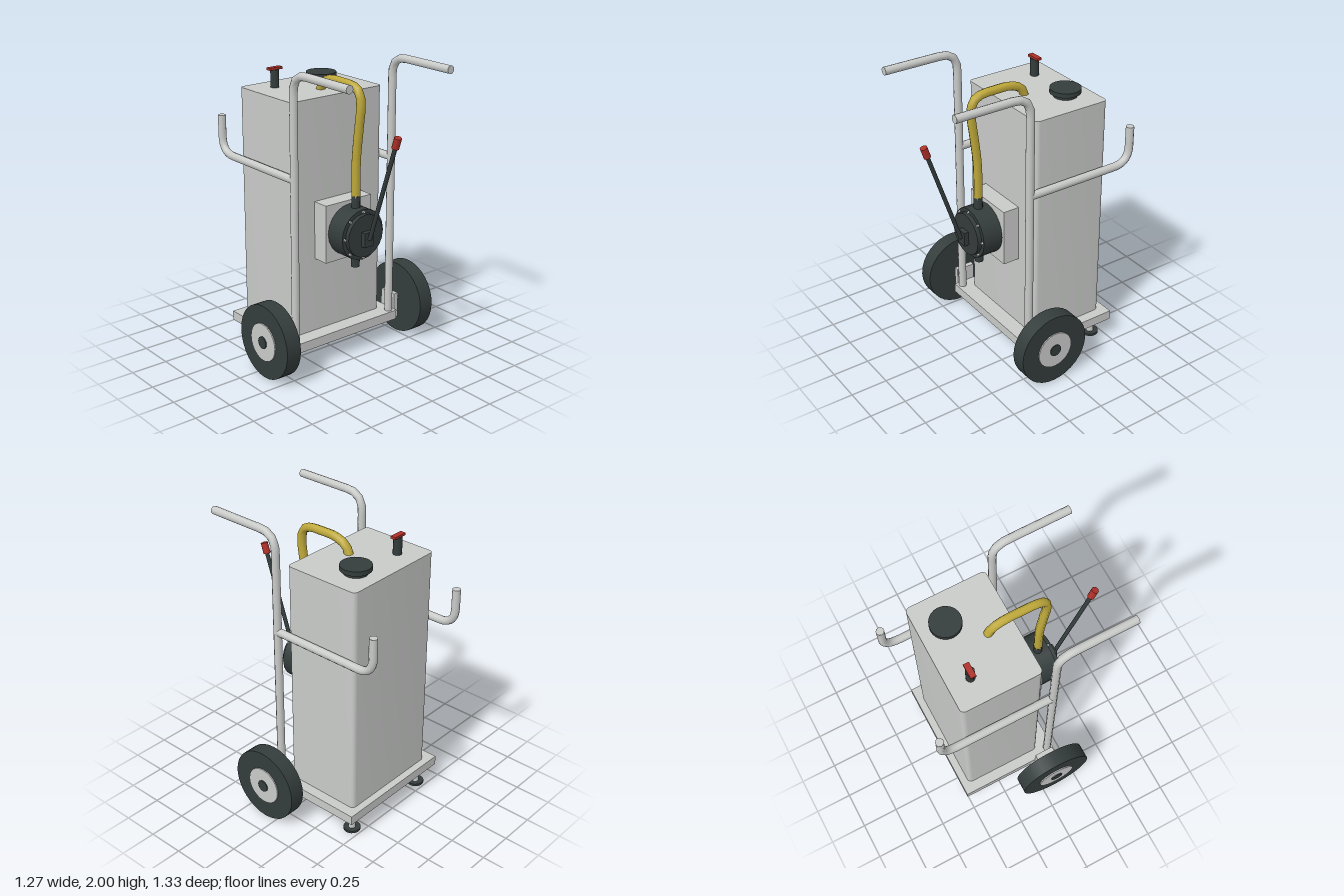
import * as THREE from 'three';
import { toCreasedNormals } from 'three/addons/utils/BufferGeometryUtils.js';

const V = (x, y, z) => new THREE.Vector3(x, y, z);

export function createModel() {
  const model = new THREE.Group();
  model.name = 'pumpTrolley';

  const material = (name, color) => {
    const m = new THREE.MeshStandardMaterial({ color });
    m.name = name;
    return m;
  };
  const steel = material('light grey steel', 0xc9cbc9);
  const rubber = material('dark grey rubber', 0x343c3c);
  const red = material('red', 0xb03028);
  const yellow = material('yellow hose', 0xbfa93a);

  const add = (name, geometry, mat, x = 0, y = 0, z = 0) => {
    const mesh = new THREE.Mesh(geometry, mat);
    mesh.name = name;
    mesh.position.set(x, y, z);
    model.add(mesh);
    return mesh;
  };
  // Box given by its minimum and maximum corners
  const box = (name, mat, [x0, y0, z0], [x1, y1, z1]) =>
    add(name, new THREE.BoxGeometry(x1 - x0, y1 - y0, z1 - z0), mat, (x0 + x1) / 2, (y0 + y1) / 2, (z0 + z1) / 2);
  // Cylinder running from point a to point b
  const rod = (name, mat, a, b, r, sides = 16) => {
    const mesh = add(name, new THREE.CylinderGeometry(r, r, a.distanceTo(b), sides), mat);
    mesh.position.copy(a).lerp(b, 0.5);
    mesh.quaternion.setFromUnitVectors(V(0, 1, 0), b.clone().sub(a).normalize());
    return mesh;
  };
  // Closed end disc facing along dir
  const endCap = (name, mat, p, dir, r, sides) => {
    const mesh = add(name, new THREE.CircleGeometry(r, sides), mat);
    mesh.position.copy(p);
    mesh.quaternion.setFromUnitVectors(V(0, 0, 1), dir);
  };
  // Tube from a to c with one rounded bend at corner b
  const bentTube = (name, a, b, c, bend, r) => {
    const d0 = b.clone().sub(a).normalize();
    const d1 = c.clone().sub(b).normalize();
    const p = b.clone().addScaledVector(d0, -bend);
    const q = b.clone().addScaledVector(d1, bend);
    const path = new THREE.CurvePath();
    path.add(new THREE.LineCurve3(a, p));
    path.add(new THREE.QuadraticBezierCurve3(p, b, q));
    path.add(new THREE.LineCurve3(q, c));
    add(name, new THREE.TubeGeometry(path, 40, r, 10), steel);
    endCap(name + 'End', steel, c, d1, r, 10);
    endCap(name + 'Start', steel, a, d0.clone().negate(), r, 10);
  };

  // Base plate and tank with rounded upright edges
  box('basePlate', steel, [-0.44, 0.135, -0.517], [0.44, 0.2, 0.18]);
  const w = 0.37, d = 0.27, r = 0.03;
  const outline = new THREE.Shape();
  outline.absarc(w - r, d - r, r, 0, Math.PI / 2);
  outline.absarc(r - w, d - r, r, Math.PI / 2, Math.PI);
  outline.absarc(r - w, r - d, r, Math.PI, Math.PI * 1.5);
  outline.absarc(w - r, r - d, r, Math.PI * 1.5, Math.PI * 2);
  const tank = new THREE.ExtrudeGeometry(outline, { depth: 1.575, bevelEnabled: false, curveSegments: 5 });
  tank.rotateX(-Math.PI / 2);
  add('tank', toCreasedNormals(tank, 0.6), steel, 0, 0.2, -0.197);

  // Parts mirrored left and right
  for (const [side, s] of [['left', 1], ['right', -1]]) {
    bentTube(side + 'PushHandle', V(s * 0.4, 0.2, 0.14), V(s * 0.4, 1.975, 0.14), V(s * 0.4, 1.975, 0.665), 0.12, 0.027);
    bentTube(side + 'HoseHook', V(s * 0.4, 1.303, 0.14), V(s * 0.4, 1.303, -0.637), V(s * 0.4, 1.56, -0.637), 0.12, 0.027);
    box(side + 'AxleBracket', steel,
      [Math.min(s * 0.44, s * 0.474), 0.135, 0.023], [Math.max(s * 0.44, s * 0.474), 0.31, 0.155]);
    const alongAxle = (name, mat, x0, x1, radius, sides) =>
      rod(side + name, mat, V(s * x0, 0.25, 0.09), V(s * x1, 0.25, 0.09), radius, sides);
    alongAxle('Axle', steel, 0.46, 0.53, 0.028, 16);
    alongAxle('Tyre', rubber, 0.514, 0.62, 0.25, 32);
    alongAxle('Hub', steel, 0.6, 0.628, 0.128, 24);
    alongAxle('AxleCap', rubber, 0.61, 0.635, 0.041, 16);
    rod(side + 'FootLeg', steel, V(s * 0.335, 0.01, -0.43), V(s * 0.335, 0.14, -0.43), 0.024);
    rod(side + 'FootPad', rubber, V(s * 0.335, 0, -0.43), V(s * 0.335, 0.016, -0.43), 0.057, 20);
  }

  // Filler cap and valve on the tank top
  rod('fillerNeck', rubber, V(0.163, 1.77, -0.296), V(0.163, 1.802, -0.296), 0.077, 24);
  rod('fillerCap', rubber, V(0.163, 1.8, -0.296), V(0.163, 1.83, -0.296), 0.101, 24);
  rod('valveStem', rubber, V(-0.198, 1.77, -0.32), V(-0.198, 1.892, -0.32), 0.029, 10);
  box('valveHandle', red, [-0.247, 1.89, -0.34], [-0.149, 1.906, -0.302]);

  // Pump with its mount, ring of bolts and pipe stubs
  const py = 0.905;
  box('pumpMount', steel, [-0.188, 0.71, 0.07], [0.188, 1.1, 0.188]);
  rod('pumpBody', rubber, V(0, py, 0.185), V(0, py, 0.328), 0.17, 20);
  rod('pumpCover', rubber, V(0, py, 0.32), V(0, py, 0.357), 0.143, 20);
  for (let i = 0; i < 8; i++) {
    const a = (i * Math.PI) / 4;
    const x = Math.cos(a) * 0.154, y = py + Math.sin(a) * 0.154;
    rod('pumpBolt', steel, V(x, y, 0.325), V(x, y, 0.341), 0.009, 6);
  }
  rod('pumpOutlet', rubber, V(0, 1.05, 0.257), V(0, 1.15, 0.257), 0.029, 12);
  rod('pumpInlet', rubber, V(0, 0.668, 0.257), V(0, 0.76, 0.257), 0.029, 12);

  // Pump lever
  box('leverBoss', rubber, [-0.035, 0.84, 0.35], [0.035, 0.937, 0.39]);
  rod('lever', rubber, V(0, 0.89, 0.395), V(0, 1.56, 0.622), 0.014, 10);
  rod('leverGrip', red, V(0, 1.545, 0.617), V(0, 1.615, 0.641), 0.024, 10);

  // Hose from pump outlet to tank top
  const hosePath = new THREE.CatmullRomCurve3([
    V(0, 1.14, 0.257), V(0, 1.39, 0.259), V(0, 1.58, 0.28), V(0, 1.74, 0.298), V(0, 1.82, 0.283),
    V(0, 1.853, 0.23), V(0, 1.86, 0.12), V(0, 1.857, 0.01), V(0, 1.82, -0.075), V(0, 1.765, -0.1),
  ]);
  add('hose', new THREE.TubeGeometry(hosePath, 24, 0.029, 8), yellow);

  return model;
}
